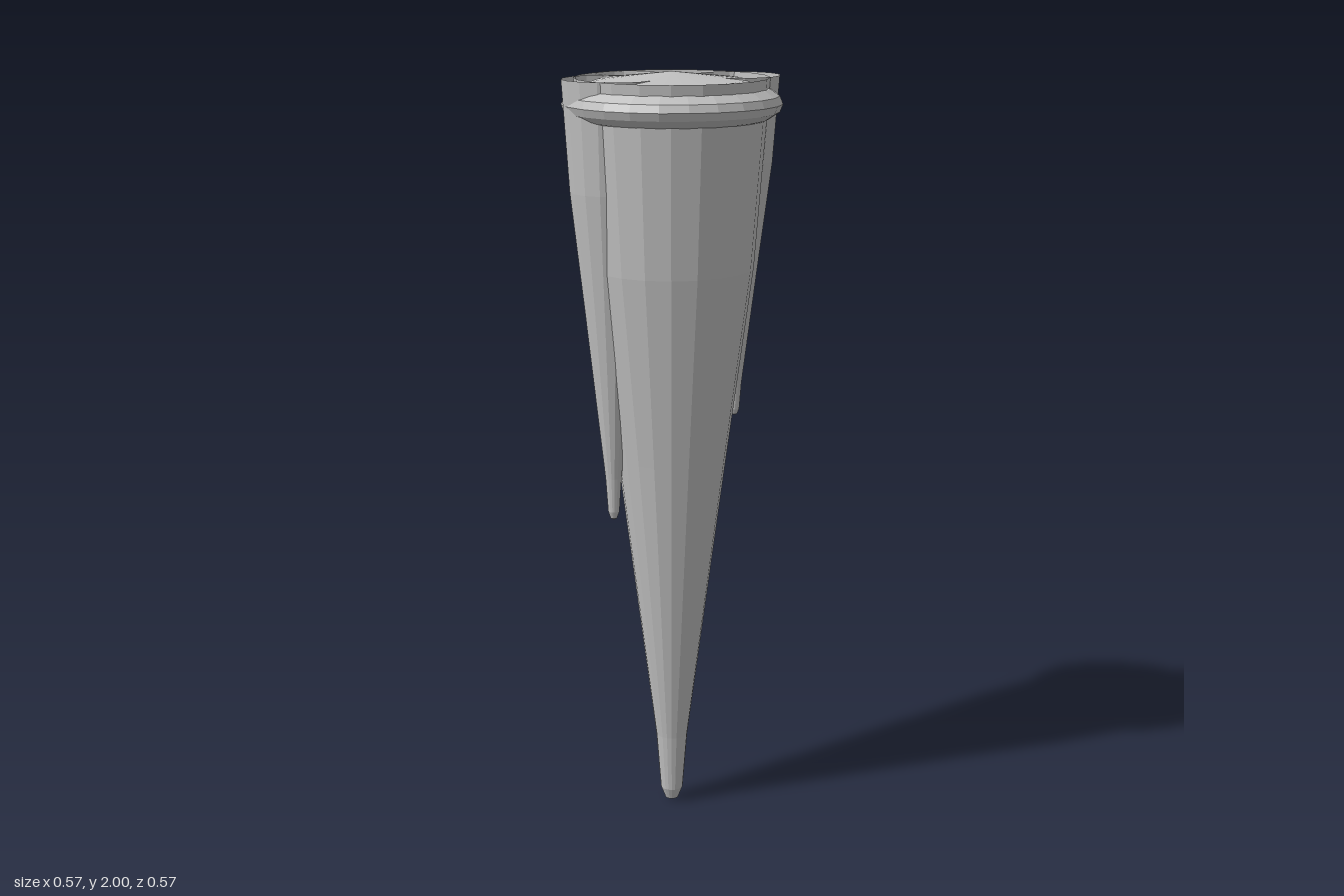
import * as THREE from 'three';

const TOP = 1.985; // shared height of the open rims

// Taper shared by every icicle: [radius factor, height factor], tip to rim
const TAPER = [[0, 0], [0.07, 0.004], [0.12, 0.02], [0.17, 0.1], [0.58, 0.5], [0.85, 0.755], [1, 1]];

function lathe(name, points, sides, material) {
  const profile = points.map(([r, y]) => new THREE.Vector2(r, y));
  const mesh = new THREE.Mesh(new THREE.LatheGeometry(profile, sides), material);
  mesh.name = name;
  return mesh;
}

function icicle(name, x, z, radius, tipY, sides, material) {
  const points = TAPER.map(([r, h]) => [r * radius, tipY + h * (TOP - tipY)]);
  const mesh = lathe(name, points, sides, material);
  mesh.position.set(x, 0, z);
  return mesh;
}

export function createModel() {
  const group = new THREE.Group();
  group.name = 'icicle';
  const ice = new THREE.MeshStandardMaterial({ color: 0xc0c0c0, flatShading: true, side: THREE.DoubleSide });
  ice.name = 'greyIce';

  // Main spike with three smaller ones grown into its sides
  group.add(icicle('mainSpike', 0, 0, 0.25, 0, 20, ice));
  group.add(icicle('rightSpike', -0.133, -0.093, 0.125, 0.83, 16, ice));
  group.add(icicle('leftSpike', 0.16, 0.09, 0.112, 1.085, 16, ice));
  group.add(icicle('backSpike', 0.032, -0.165, 0.084, 1.35, 16, ice));

  // Flattened dome that caps the top and bulges out as a collar
  const half = [[0.283, 0], [0.275, 0.02], [0.25, 0.037], [0.19, 0.059], [0, 0.08]];
  const lower = half.slice(1).reverse().map(([r, y]) => [r, -y]);
  const dome = lathe('topDome', [...lower, ...half], 24, ice);
  dome.position.y = 1.92;
  group.add(dome);

  return group;
}
